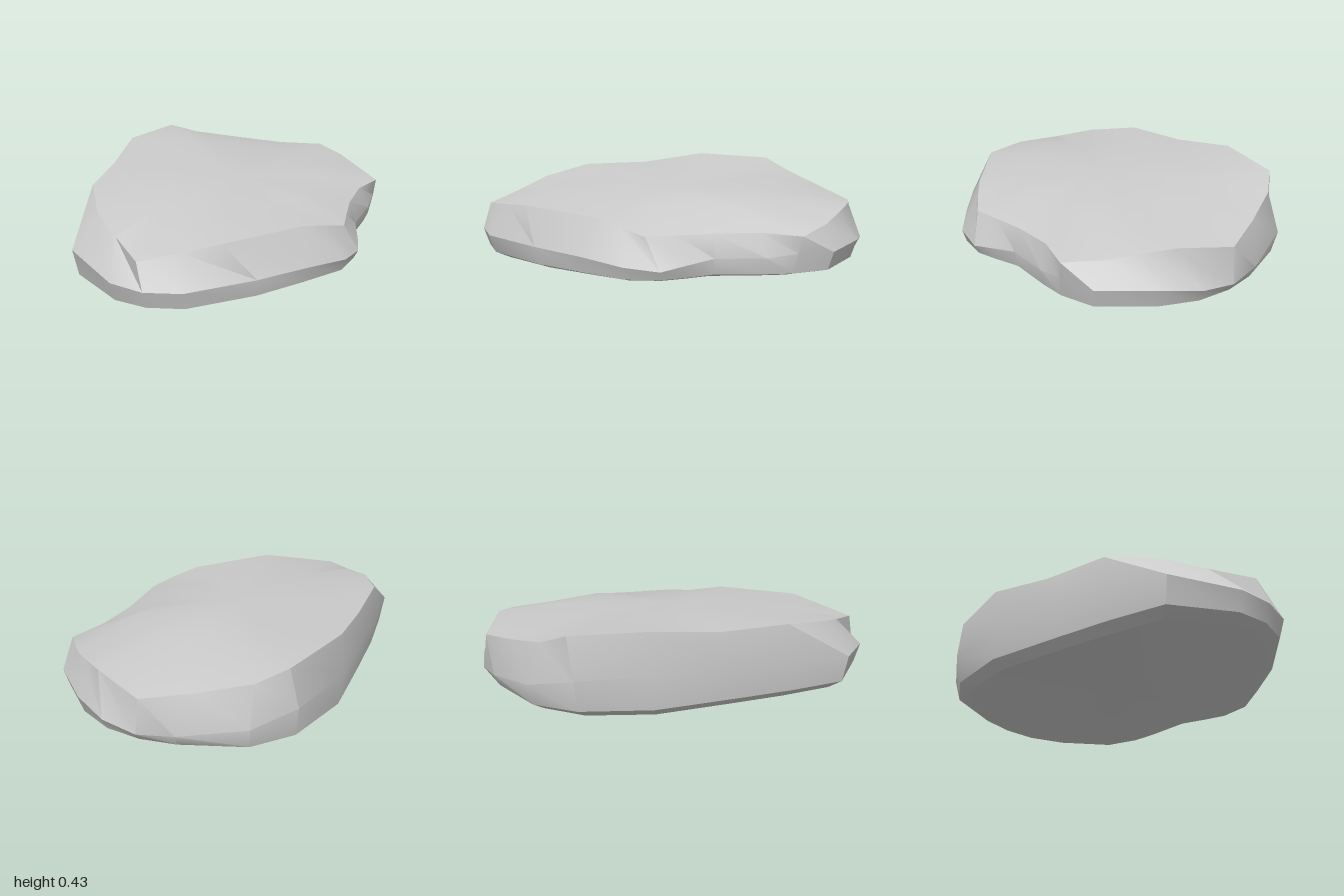
import * as THREE from 'three';
import { toCreasedNormals } from 'three/addons/utils/BufferGeometryUtils.js';

// Edge of the worn upper face, clockwise from the back: x, y, z
const TOP_EDGE = [
  [0.04, 0.26, -0.98], [0.31, 0.30, -0.88], [0.45, 0.28, -0.78], [0.56, 0.25, -0.68],
  [0.70, 0.225, -0.52], [0.63, 0.235, -0.33], [0.61, 0.235, -0.10], [0.62, 0.235, 0.08],
  [0.63, 0.235, 0.23], [0.55, 0.27, 0.34], [0.46, 0.30, 0.45], [0.15, 0.31, 0.78],
  [-0.02, 0.285, 0.87], [-0.20, 0.26, 0.96], [-0.36, 0.30, 0.80], [-0.51, 0.345, 0.65],
  [-0.64, 0.39, 0.40], [-0.665, 0.39, 0.05], [-0.69, 0.43, -0.30], [-0.58, 0.41, -0.68],
  [-0.45, 0.35, -0.78], [-0.20, 0.30, -0.89],
];

// Widest line round the side, with matching points
const GIRTH = [
  [0.05, 0.08, -1.00], [0.24, 0.10, -0.98], [0.43, 0.13, -0.89], [0.65, 0.13, -0.69],
  [0.69, 0.14, -0.50], [0.68, 0.12, -0.35], [0.645, 0.12, -0.10], [0.68, 0.10, 0.05],
  [0.70, 0.08, 0.17], [0.66, 0.10, 0.34], [0.50, 0.12, 0.53], [0.31, 0.13, 0.74],
  [0.02, 0.13, 0.965], [-0.16, 0.13, 1.00], [-0.33, 0.14, 0.965], [-0.61, 0.18, 0.75],
  [-0.655, 0.20, 0.45], [-0.68, 0.22, 0.15], [-0.71, 0.22, -0.30], [-0.62, 0.20, -0.66],
  [-0.46, 0.15, -0.85], [-0.14, 0.10, -0.97],
];

// Shrinks a loop towards the middle and sets its height by a rule
const inset = (loop, s, height) =>
  loop.map(([x, , z]) => [x * s, height(x * s, z * s), z * s]);

// Joins loops, listed from top to bottom, into a closed skin
function skin(loops, topPole, bottomPole) {
  const n = loops[0].length;
  const positions = [topPole, ...loops.flat(), bottomPole].flat();
  const last = loops.length * n + 1;
  const at = (r, i) => 1 + r * n + (i % n);
  const index = [];
  for (let i = 0; i < n; i++) {
    index.push(0, at(0, i + 1), at(0, i));
    for (let r = 0; r < loops.length - 1; r++) {
      const a = at(r, i), b = at(r, i + 1), c = at(r + 1, i), d = at(r + 1, i + 1);
      index.push(a, b, c, b, d, c);
    }
    index.push(at(loops.length - 1, i), at(loops.length - 1, i + 1), last);
  }
  const geometry = new THREE.BufferGeometry();
  geometry.setAttribute('position', new THREE.Float32BufferAttribute(positions, 3));
  geometry.setIndex(index);
  return toCreasedNormals(geometry, 0.6);
}

export function createModel() {
  const group = new THREE.Group();
  group.name = 'flatStone';

  // Upper face tilts down to +x and the front; underside is nearly flat
  const upper = (x, z) => 0.365 - 0.085 * x - 0.04 * Math.max(0, z);
  const under = (x) => 0.01 + 0.015 * x;

  const loops = [
    inset(TOP_EDGE, 0.6, upper),
    TOP_EDGE,
    GIRTH,
    inset(GIRTH, 0.97, (x) => 0.04 - 0.005 * x),
    inset(GIRTH, 0.9, under),
  ];
  const stone = new THREE.Mesh(
    skin(loops, [0, 0.365, 0], [0, 0.01, 0]),
    new THREE.MeshStandardMaterial({ color: 0xcccccc }),
  );
  stone.name = 'stone';
  group.add(stone);
  return group;
}
